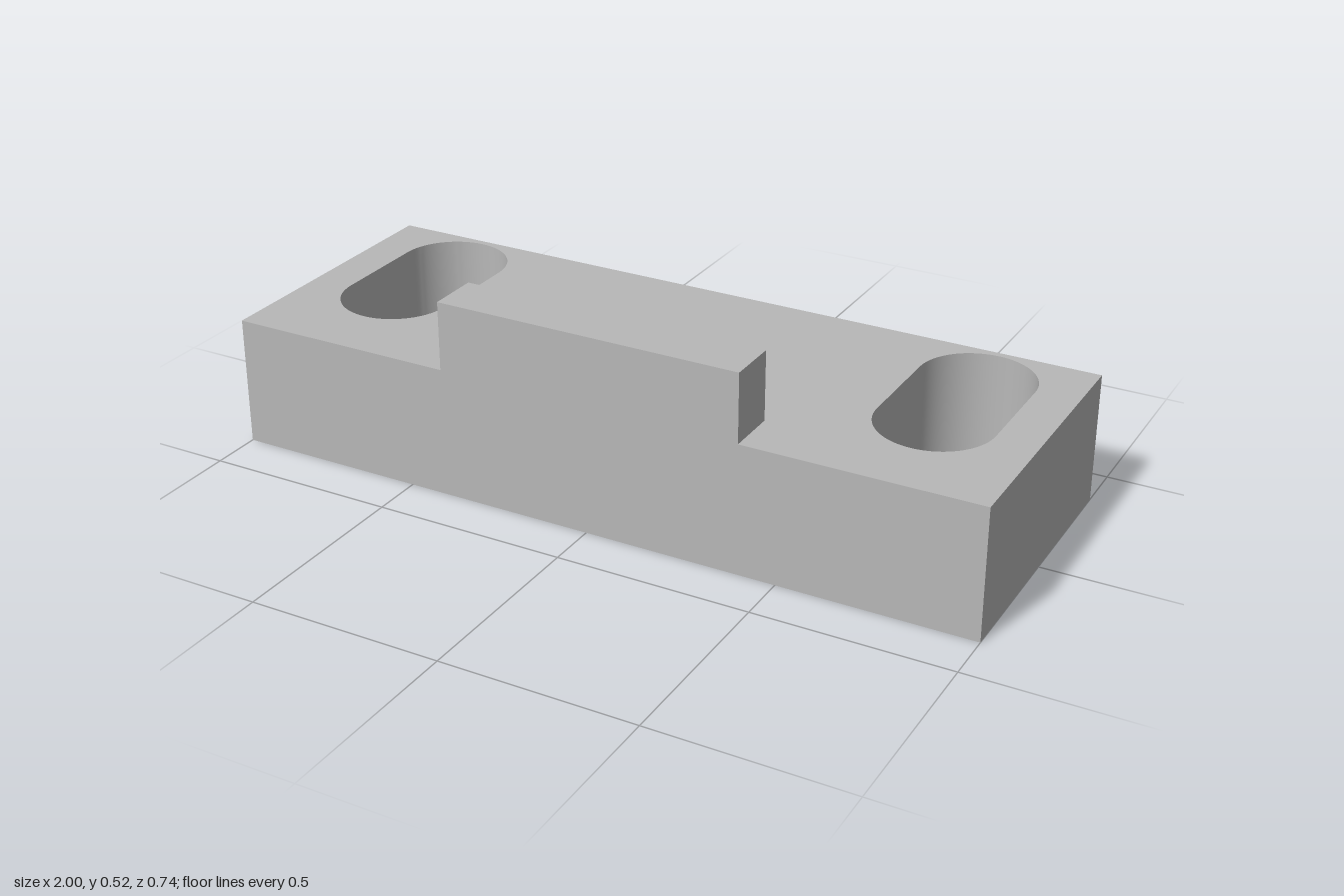
import * as THREE from 'three';
import { toCreasedNormals } from 'three/addons/utils/BufferGeometryUtils.js';

const WIDTH = 2, DEPTH = 0.736, BASE_HEIGHT = 0.338;
const LIP_WIDTH = 0.8, LIP_HEIGHT = 0.178, LIP_DEPTH = 0.134;
const SLOT_X = 0.746, SLOT_RADIUS = 0.146, SLOT_BACK = -0.204, SLOT_FRONT = 0.052;

// Rounded slot outline; shape y is -z in the finished model
function slotPath(x) {
  const slot = new THREE.Path();
  slot.absarc(x, -SLOT_BACK, SLOT_RADIUS, 0, Math.PI);
  slot.absarc(x, -SLOT_FRONT, SLOT_RADIUS, Math.PI, Math.PI * 2);
  slot.closePath();
  return slot;
}

export function createModel() {
  const group = new THREE.Group();
  group.name = 'slottedBlock';

  const grey = new THREE.MeshStandardMaterial({ color: 0xb8b8b8 });
  grey.name = 'grey';

  // Base block with two through slots
  const w = WIDTH / 2, d = DEPTH / 2;
  const outline = new THREE.Shape([
    new THREE.Vector2(-w, -d), new THREE.Vector2(w, -d),
    new THREE.Vector2(w, d), new THREE.Vector2(-w, d),
  ]);
  for (const side of [-1, 1]) outline.holes.push(slotPath(side * SLOT_X));
  const baseGeometry = new THREE.ExtrudeGeometry(outline, {
    depth: BASE_HEIGHT, bevelEnabled: false, curveSegments: 24,
  });
  baseGeometry.rotateX(-Math.PI / 2);
  const base = new THREE.Mesh(toCreasedNormals(baseGeometry, Math.PI / 6), grey);
  base.name = 'base';
  group.add(base);

  // Raised lip flush with the front face
  const lip = new THREE.Mesh(new THREE.BoxGeometry(LIP_WIDTH, LIP_HEIGHT, LIP_DEPTH), grey);
  lip.name = 'frontLip';
  lip.position.set(0, BASE_HEIGHT + LIP_HEIGHT / 2, d - LIP_DEPTH / 2);
  group.add(lip);

  return group;
}
